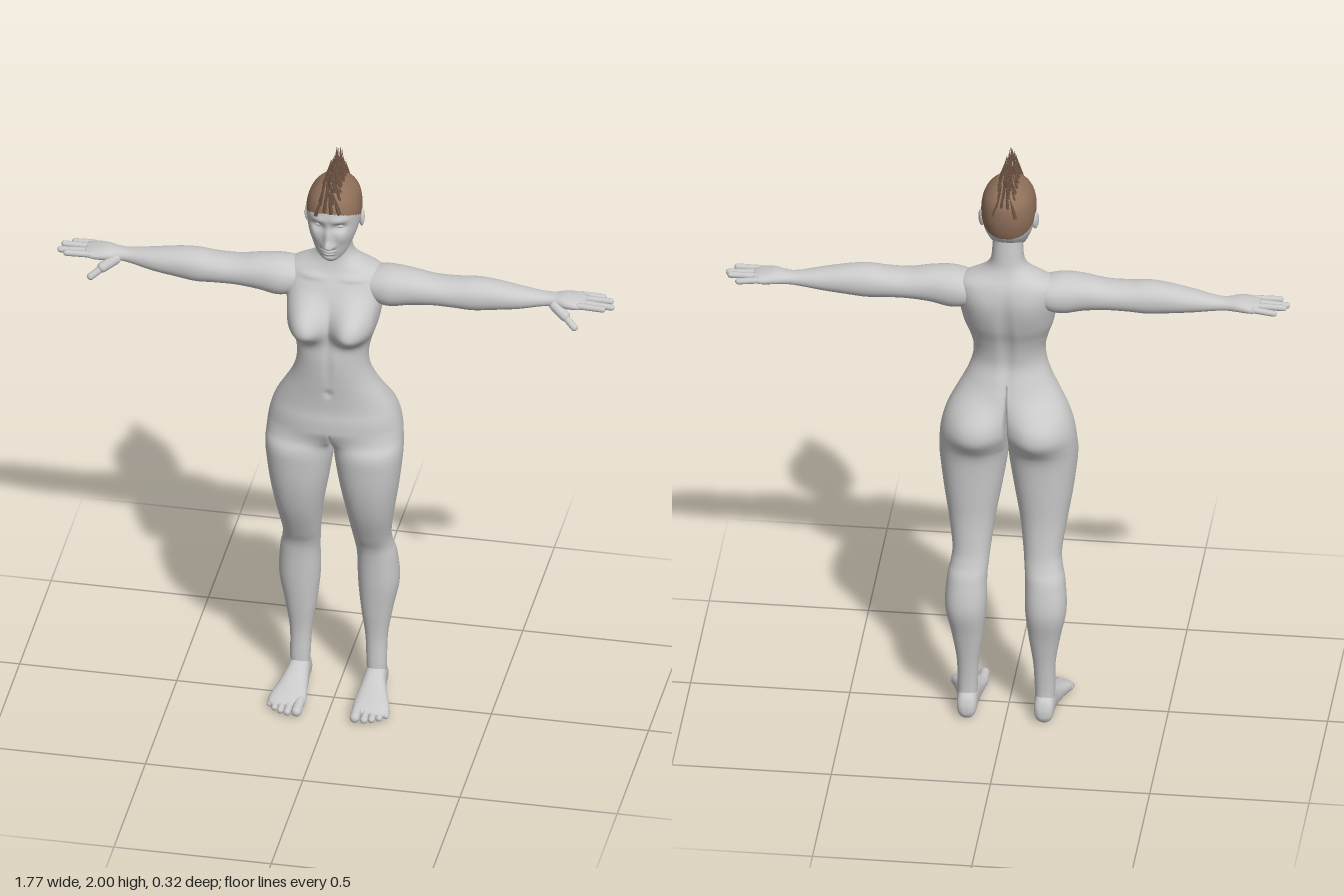
import * as THREE from 'three';

const flat = (name, color) => {
  const m = new THREE.MeshStandardMaterial({ color });
  m.name = name;
  return m;
};

// Catmull-Rom blend of whole rows, u in 0..1
function rowAt(rows, u) {
  const n = rows.length - 1, f = u * n, i = Math.min(Math.floor(f), n - 1), t = f - i;
  const at = k => rows[Math.max(0, Math.min(n, k))];
  const [p, q, r, s] = [at(i - 1), at(i), at(i + 1), at(i + 2)];
  return q.map((_, k) => q[k] + 0.5 * t * (r[k] - p[k] +
    t * (2 * p[k] - 5 * q[k] + 4 * r[k] - s[k] + t * (3 * (q[k] - r[k]) + s[k] - p[k]))));
}

// Closed smooth skin through rows; section turns a row and an angle into a point
function loft(rows, rings, segs, section) {
  const pos = [], idx = [];
  for (let i = 0; i <= rings; i++) {
    const row = rowAt(rows, i / rings), p = i * segs;
    for (let j = 0; j < segs; j++) {
      pos.push(...section(row, (j / segs) * Math.PI * 2));
      const k = (j + 1) % segs;
      if (i < rings) idx.push(p + j, p + segs + j, p + k, p + k, p + segs + j, p + segs + k);
    }
  }
  for (const end of [0, rings]) {
    const p = end * segs, c = pos.length / 3, mid = [0, 0, 0];
    for (let j = 0; j < segs; j++) {
      const k = (j + 1) % segs;
      for (let d = 0; d < 3; d++) mid[d] += pos[(p + j) * 3 + d] / segs;
      if (end) idx.push(c, p + k, p + j); else idx.push(c, p + j, p + k);
    }
    pos.push(...mid);
  }
  const g = new THREE.BufferGeometry();
  g.setAttribute('position', new THREE.Float32BufferAttribute(pos, 3));
  g.setIndex(idx);
  g.computeVertexNormals();
  return g;
}

// Oval sections: rows [s, aMin, aMax, bMin, bMax], place maps (s, a, b) to x, y, z
const pw = (v, power) => Math.sign(v) * Math.abs(v) ** power;
const oval = (place, power = 0.92) => ([s, a0, a1, b0, b1], th) => place(s,
  (a0 + a1) / 2 + (a1 - a0) / 2 * pw(Math.cos(th), power),
  (b0 + b1) / 2 + (b1 - b0) / 2 * pw(Math.sin(th), power));
const upright = oval((s, a, b) => [a, s, b], 0.9);
const sideways = oval((s, a, b) => [s, b, a]);
const forward = oval((s, a, b) => [b, a, s], 0.85);

// Body half: a leg oval that opens into half of the torso, separately at front and back
function halfBody([y, x0, x1, z0, z1, openFront, openBack], angle) {
  const th = angle > Math.PI ? angle - 2 * Math.PI : angle;
  const open = THREE.MathUtils.clamp(th > 0 ? openFront : openBack, 0, 1);
  const zc = (z0 + z1) / 2, dz = (z1 - z0) / 2, inner = Math.max(0, x0);
  const [ox, , oz] = upright([y, inner, x1, z0, z1], th);
  const limit = Math.PI * 5 / 6, a = th * 0.6, flatSide = Math.abs(th) > limit - 1e-6;
  const hx = flatSide ? 0 : x1 * pw(Math.cos(a), 0.92);
  const hz = flatSide ? Math.sign(th) * dz * (Math.PI - Math.abs(th)) / (Math.PI - limit) : dz * pw(Math.sin(a), 0.92);
  return [ox + (hx - ox) * open, y, oz + (zc + hz - oz) * open];
}

// Soft mounds and hollows: [x, y, widthX, heightUp, heightDown, depth], on both sides of x = 0
function sculpt(g, bumps, front) {
  const p = g.attributes.position;
  for (let i = 0; i < p.count; i++) {
    const x = p.getX(i), y = p.getY(i), z = p.getZ(i);
    if ((z > 0) !== front) continue;
    let d = 0;
    for (const [bx, by, sx, up, down, depth] of bumps) {
      const dx = (Math.abs(x) - bx) / sx, dy = (y - by) / (y > by ? up : down);
      d += depth * Math.exp(-((dx * dx + dy * dy) ** 1.3));
    }
    d *= Math.min(1, Math.abs(z) / 0.03);
    p.setZ(i, z + (front ? d : -d));
  }
  g.computeVertexNormals();
}

// Mirrored copy across x = 0 with the faces turned back outward
function mirror(g) {
  const m = g.clone().scale(-1, 1, 1), a = m.index.array;
  for (let i = 0; i < a.length; i += 3) [a[i], a[i + 1]] = [a[i + 1], a[i]];
  return m;
}

// Rounded digit between two points
function digit(a, b, r) {
  const from = new THREE.Vector3(...a), dir = new THREE.Vector3(...b).sub(from), len = dir.length();
  const g = new THREE.CapsuleGeometry(r, len - 2 * r, 5, 12);
  g.applyQuaternion(new THREE.Quaternion().setFromUnitVectors(new THREE.Vector3(0, 1, 0), dir.clone().normalize()));
  return g.translate(...from.addScaledVector(dir, 0.5).toArray());
}
const ball = (rx, ry, rz) => new THREE.SphereGeometry(1, 24, 16).scale(rx, ry, rz);

export function createModel() {
  const model = new THREE.Group();
  model.name = 'figure';
  const skin = flat('grey skin', 0xcacaca);
  const scalp = flat('brown scalp', 0x8f705a);
  const hair = flat('dark brown hair', 0x705645);
  const add = (name, g, mat = skin) => {
    const m = new THREE.Mesh(g, mat);
    m.name = name;
    model.add(m);
  };
  const pair = (name, g) => {
    add('left' + name, g);
    add('right' + name, mirror(g));
  };

  // Leg, torso and neck: [y, inner, outer, back, front, opening at front, opening at back]
  const legRows = [
    [0.04, 0.094, 0.15, -0.11, -0.04], [0.1, 0.09, 0.153, -0.105, -0.038], [0.2, 0.085, 0.155, -0.115, -0.04],
    [0.3, 0.071, 0.171, -0.133, -0.03], [0.4, 0.061, 0.19, -0.154, -0.02], [0.5, 0.06, 0.185, -0.14, -0.013],
    [0.55, 0.056, 0.175, -0.122, -0.004], [0.6, 0.051, 0.172, -0.11, 0.02], [0.7, 0.038, 0.187, -0.102, 0.064],
    [0.8, 0.02, 0.203, -0.105, 0.09], [0.9, 0.004, 0.215, -0.11, 0.1]].map(r => [...r, 0, 0]);
  const hipRows = [
    [0.945, 0, 0.217, -0.117, 0.1, 0.1, 0.05], [0.98, 0, 0.215, -0.128, 0.096, 0.65, 0.2],
    [1.02, 0, 0.211, -0.137, 0.097, 1, 0.35], [1.06, 0, 0.202, -0.135, 0.097, 1, 0.45],
    [1.1, 0, 0.187, -0.122, 0.093, 1, 0.65], [1.15, 0, 0.16, -0.1, 0.095, 1, 0.95]];
  const torsoRows = [
    [1.2, 0.133, -0.082, 0.1], [1.25, 0.116, -0.068, 0.104], [1.3, 0.113, -0.072, 0.105],
    [1.35, 0.124, -0.085, 0.1], [1.4, 0.14, -0.105, 0.093], [1.45, 0.15, -0.118, 0.083],
    [1.5, 0.16, -0.125, 0.068], [1.54, 0.163, -0.123, 0.05], [1.57, 0.145, -0.115, 0.032],
    [1.6, 0.083, -0.1, 0.02], [1.63, 0.055, -0.09, 0.015], [1.68, 0.048, -0.085, 0.015],
    [1.74, 0.045, -0.08, 0.01]].map(([y, w, back, front]) => [y, 0, w, back, front, 1, 1]);
  const body = loft([...legRows, ...hipRows, ...torsoRows], 174, 96, halfBody);
  sculpt(body, [
    [0.081, 1.415, 0.066, 0.072, 0.053, 0.079],               // chest
    [0, 1.17, 0.012, 0.014, 0.012, -0.006],                   // navel
    [0, 1.28, 0.014, 0.09, 0.08, -0.003],                     // midline
    [0.07, 1.562, 0.05, 0.01, 0.01, 0.006]], true);           // collarbones
  sculpt(body, [
    [0.095, 1.035, 0.085, 0.085, 0.06, 0.03],                 // seat
    [0, 1.36, 0.022, 0.17, 0.2, -0.008], [0.08, 1.49, 0.045, 0.06, 0.07, 0.005]], false); // spine, shoulder blades
  // Level the normals on the centre line so that both halves shade as one
  const { position, normal } = body.attributes, v = new THREE.Vector3();
  for (let i = 0; i < position.count; i++) {
    if (position.getX(i) > 1e-5) continue;
    v.fromBufferAttribute(normal, i).setX(0).normalize();
    normal.setXYZ(i, v.x, v.y, v.z);
  }
  pair('Body', body);

  // Feet: [z, bottom, top, inner, outer]
  pair('Foot', loft([
    [-0.126, 0.02, 0.045, 0.108, 0.134], [-0.112, 0.001, 0.08, 0.092, 0.15], [-0.07, 0, 0.105, 0.088, 0.155],
    [-0.03, 0.003, 0.092, 0.085, 0.16], [0.02, 0.006, 0.068, 0.08, 0.174], [0.07, 0.001, 0.049, 0.075, 0.19],
    [0.1, 0.002, 0.036, 0.077, 0.19], [0.115, 0.008, 0.026, 0.09, 0.17]], 36, 32, forward));
  for (let i = 0; i < 5; i++) {
    const r = i ? 0.0125 - i * 0.0006 : 0.0165, x = [0.092, 0.121, 0.144, 0.165, 0.183][i];
    pair('Toe' + (i + 1), digit([x, 0.026, 0.065], [x + 0.001, r + 0.001, 0.152 - i * i * 0.0027], r));
  }

  // Arms: [x, back, front, bottom, top]
  pair('Arm', loft([
    [0.05, -0.075, 0.0, 1.5, 1.545], [0.09, -0.09, 0.018, 1.485, 1.565], [0.135, -0.1, 0.035, 1.464, 1.578],
    [0.18, -0.098, 0.042, 1.457, 1.584], [0.24, -0.089, 0.036, 1.468, 1.58], [0.31, -0.084, 0.03, 1.475, 1.568],
    [0.38, -0.083, 0.029, 1.474, 1.568], [0.44, -0.083, 0.027, 1.47, 1.574], [0.5, -0.081, 0.02, 1.476, 1.57],
    [0.58, -0.076, 0.008, 1.486, 1.556], [0.65, -0.07, -0.01, 1.498, 1.544], [0.69, -0.071, -0.013, 1.503, 1.542],
    [0.73, -0.082, 0.001, 1.504, 1.546], [0.77, -0.09, 0.004, 1.507, 1.541], [0.795, -0.086, -0.003, 1.514, 1.535]],
  80, 40, sideways));
  [[-0.079, 0.85, -0.085], [-0.056, 0.878, -0.056], [-0.031, 0.886, -0.03], [-0.008, 0.862, -0.004]]
    .forEach(([z, x, tipZ], i) => pair('Finger' + (i + 1), digit([0.765, 1.527, z], [x, 1.52 + (i % 2) * 0.006, tipZ], 0.01)));
  pair('Thumb', digit([0.685, 1.523, -0.022], [0.748, 1.487, 0.014], 0.017));
  pair('ThumbTip', digit([0.728, 1.499, 0.004], [0.777, 1.462, 0.031], 0.0115));

  // Head: [y, half width, back, front]
  const head = loft([
    [1.645, 0.016, 0.035, 0.068], [1.66, 0.037, 0, 0.079], [1.68, 0.053, -0.04, 0.086], [1.705, 0.064, -0.07, 0.092],
    [1.74, 0.076, -0.097, 0.098], [1.78, 0.084, -0.11, 0.1], [1.82, 0.085, -0.114, 0.104],
    [1.855, 0.077, -0.11, 0.096], [1.88, 0.06, -0.092, 0.078], [1.897, 0.036, -0.06, 0.048],
    [1.905, 0.006, -0.015, 0.005]].map(([y, w, back, front]) => [y, -w, w, back, front]), 90, 110, upright);
  sculpt(head, [
    [0, 1.715, 0.016, 0.018, 0.011, 0.018], [0, 1.738, 0.012, 0.04, 0.03, 0.011], // nose
    [0.013, 1.712, 0.009, 0.009, 0.007, 0.007],                                   // nostrils
    [0.034, 1.784, 0.021, 0.014, 0.016, -0.012], [0.034, 1.81, 0.026, 0.012, 0.01, 0.004], // sockets, brows
    [0, 1.692, 0.021, 0.005, 0.004, 0.008], [0, 1.682, 0.018, 0.004, 0.006, 0.008],        // lips
    [0, 1.66, 0.02, 0.012, 0.012, 0.006], [0.05, 1.745, 0.02, 0.02, 0.025, 0.005]], true); // chin, cheeks

  // Close-cropped hair takes every face above a line falling to the nape
  const p = head.attributes.position, bare = [], cropped = [];
  for (let i = 0; i < head.index.count; i += 3) {
    const t = [0, 1, 2].map(k => head.index.getX(i + k));
    const above = t.reduce((sum, k) => sum + p.getY(k) - 1.787 - 0.48 * p.getZ(k), 0) > 0;
    (above ? cropped : bare).push(...t);
  }
  head.setIndex([...bare, ...cropped]);
  head.addGroup(0, bare.length, 0);
  head.addGroup(bare.length, cropped.length, 1);
  add('head', head, [skin, scalp]);
  pair('Eye', ball(0.014, 0.0085, 0.013).translate(0.033, 1.784, 0.073));
  pair('Ear', ball(0.009, 0.03, 0.018).rotateY(0.3).rotateX(-0.15).translate(0.085, 1.767, -0.016));

  // Crest of thin spikes leaning over the middle
  let seed = 7;
  const rand = () => (seed = (seed * 16807) % 2147483647) / 2147483647;
  const crest = new THREE.Group();
  crest.name = 'hairCrest';
  for (let i = 0; i < 16; i++) for (let j = 0; j < 4; j++) {
    const z = -0.1 + i * 0.0132 + (rand() - 0.5) * 0.012, x = (j - 1.5) * 0.024 + (rand() - 0.5) * 0.01;
    const h = (0.13 - Math.abs(x) * 0.6) * (0.68 + 0.32 * rand());
    const spike = new THREE.Mesh(new THREE.ConeGeometry(0.007, h, 6).translate(0, h / 2, 0), hair);
    spike.name = 'hairSpike';
    spike.position.set(x, 1.886 - 4.5 * z * z - 12 * x * x, z);
    spike.rotation.set(z * 0.8, 0, x * 7);
    crest.add(spike);
  }
  model.add(crest);
  return model;
}
